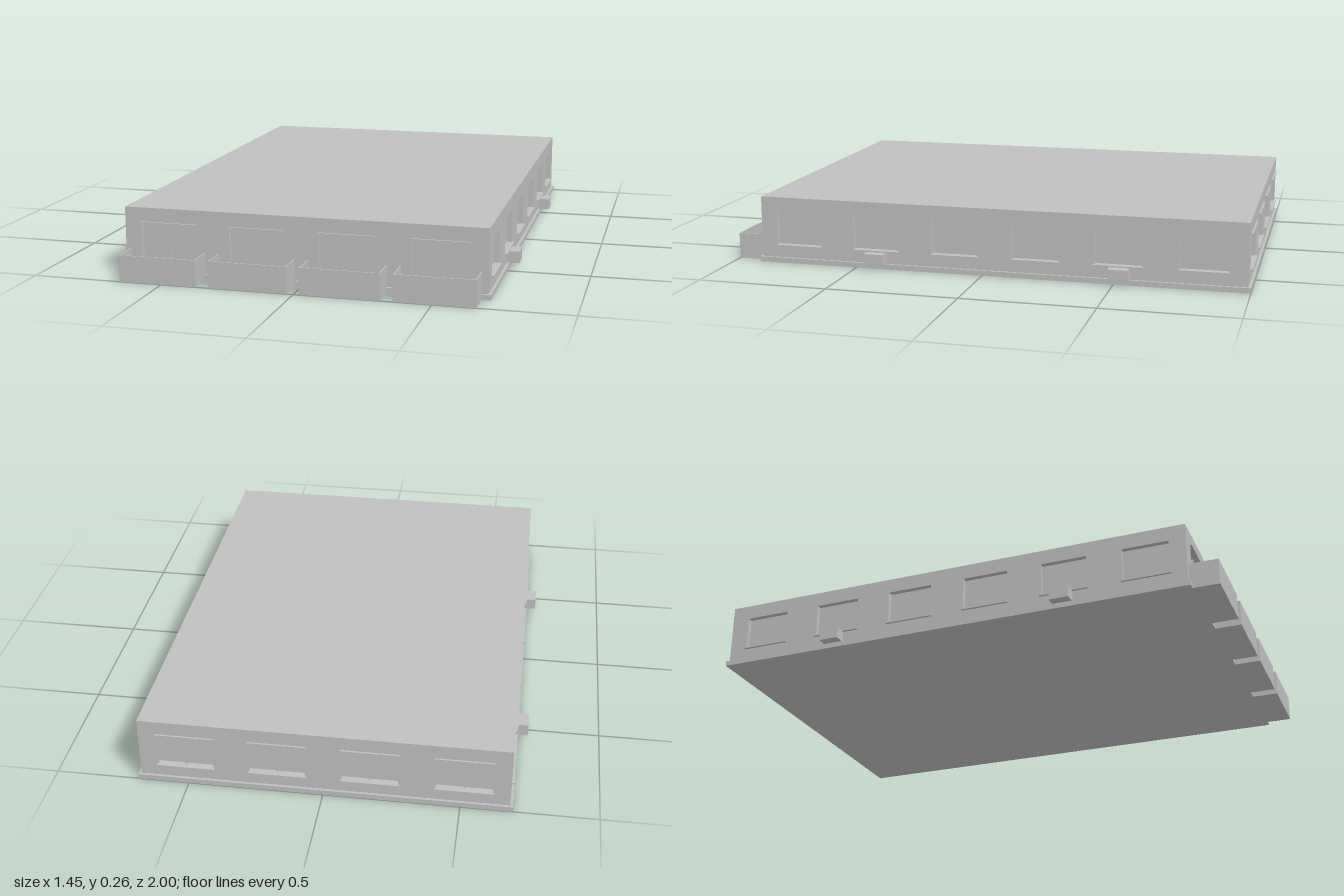
import * as THREE from 'three';

const W = 0.68, FRONT = 0.89, BACK = -0.99, TOP = 0.257, PLINTH = 0.02, RECESS = 0.02;
const MID = (FRONT + BACK) / 2, LENGTH = FRONT - BACK;

export function createModel() {
  const model = new THREE.Group();
  model.name = 'building';
  const concrete = new THREE.MeshStandardMaterial({ color: 0xc0c0c0 });
  concrete.name = 'lightGrey';

  // Box given by its minimum and maximum on each axis
  function box(parent, name, x0, x1, y0, y1, z0, z1) {
    const mesh = new THREE.Mesh(new THREE.BoxGeometry(x1 - x0, y1 - y0, z1 - z0), concrete);
    mesh.position.set((x0 + x1) / 2, (y0 + y1) / 2, (z0 + z1) / 2);
    mesh.name = name;
    parent.add(mesh);
    return mesh;
  }

  // Wall facing +z with its outer face at z = 0, pierced by equal openings
  function wall(name, width, centres, openW, y0, y1, opts) {
    const group = new THREE.Group();
    group.name = name;
    const shape = new THREE.Shape([
      new THREE.Vector2(-width / 2, PLINTH), new THREE.Vector2(width / 2, PLINTH),
      new THREE.Vector2(width / 2, TOP), new THREE.Vector2(-width / 2, TOP)]);
    for (const c of centres) {
      const a = c - openW / 2, b = c + openW / 2;
      shape.holes.push(new THREE.Path([
        new THREE.Vector2(a, y0), new THREE.Vector2(a, y1),
        new THREE.Vector2(b, y1), new THREE.Vector2(b, y0)]));
      if (opts.lintel) box(group, 'lintel', a - 0.005, b + 0.005, y1 - 0.002, y1 + 0.004, -RECESS, 0.007);
      if (opts.sill) box(group, 'sill', a - 0.005, b + 0.005, y0 - 0.006, y0, -RECESS, 0.009);
      if (opts.mullion) box(group, 'mullion', c - 0.004, c + 0.004, y0, y1, -RECESS, -RECESS + 0.006);
    }
    const geometry = new THREE.ExtrudeGeometry(shape, { depth: RECESS, bevelEnabled: false });
    geometry.translate(0, 0, -RECESS);
    const mesh = new THREE.Mesh(geometry, concrete);
    mesh.name = name + 'Panel';
    group.add(mesh);
    model.add(group);
    return group;
  }

  // Plinth and the inner block that forms the window panes and roof
  box(model, 'plinth', -0.69, 0.69, 0, PLINTH, -1, 0.9);
  box(model, 'core', -W + RECESS, W - RECESS, PLINTH, TOP, BACK + RECESS, FRONT - RECESS);

  // Front and back walls
  const bays = [-0.513, -0.171, 0.169, 0.509];
  wall('frontWall', 2 * W, bays, 0.207, PLINTH + 0.002, 0.2, { lintel: true, mullion: true })
    .position.z = FRONT;
  const back = wall('backWall', 2 * W, bays.map(x => -x), 0.207, 0.07, 0.2,
    { lintel: true, sill: true, mullion: true });
  back.position.z = BACK;
  back.rotation.y = Math.PI;

  // Side walls, each with six windows and two outdoor units
  const windowsZ = [0.737, 0.423, 0.11, -0.203, -0.516, -0.83];
  for (const s of [1, -1]) {
    const side = wall(s > 0 ? 'leftWall' : 'rightWall', LENGTH - 2 * RECESS,
      windowsZ.map(z => -s * (z - MID)), 0.178, 0.07, 0.2, { sill: true });
    side.position.set(s * W, 0, MID);
    side.rotation.y = s * Math.PI / 2;
    for (const z of [0.418, -0.522]) {
      const unit = box(model, 'outdoorUnit', -0.024, 0.024, PLINTH, 0.065, z - 0.038, z + 0.038);
      unit.position.x = s * 0.703;
    }
  }

  // Open balconies with thin parapets
  const t = 0.004;
  for (const c of [-0.515, -0.172, 0.168, 0.509]) {
    const balcony = new THREE.Group();
    balcony.name = 'balcony';
    const a = c - 0.147, b = c + 0.147;
    box(balcony, 'balconyFloor', a, b, 0, PLINTH, 0.895, 1 - t);
    box(balcony, 'frontParapet', a, b, 0, 0.1, 1 - t, 1);
    box(balcony, 'sideParapet', a, a + t, PLINTH, 0.1, FRONT, 1 - t);
    box(balcony, 'sideParapet', b - t, b, PLINTH, 0.1, FRONT, 1 - t);
    model.add(balcony);
  }
  return model;
}
